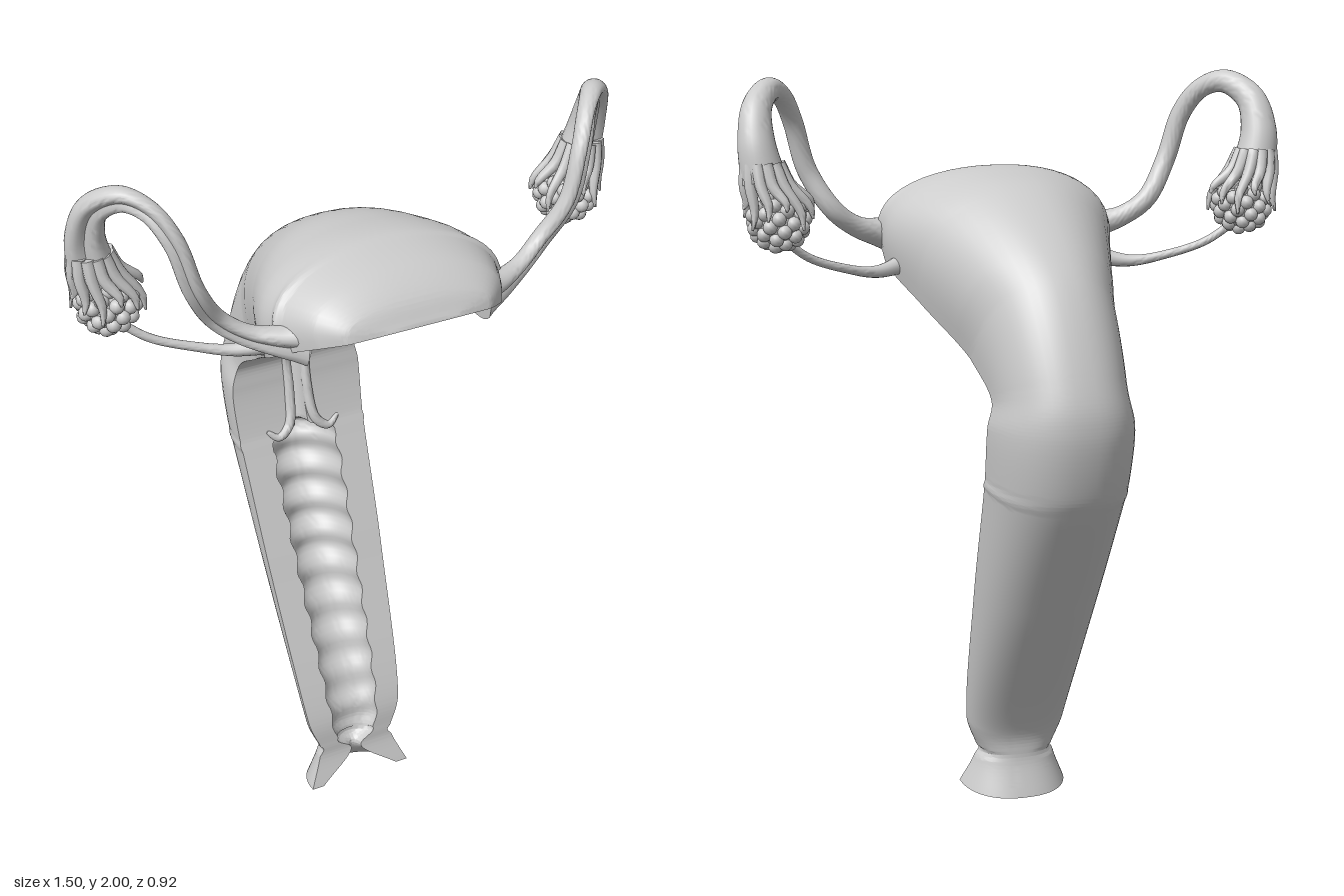
import * as THREE from 'three';
import { toCreasedNormals } from 'three/addons/utils/BufferGeometryUtils.js';

const V = (x, y, z) => new THREE.Vector3(x, y, z);
const material = new THREE.MeshStandardMaterial({ color: 0xcccccc, roughness: 0.7 });

function addMesh(parent, name, geometry) {
  const mesh = new THREE.Mesh(geometry, material);
  mesh.name = name;
  parent.add(mesh);
  return mesh;
}

// Skin a list of equal rings (counter-clockwise about the travel direction) and close both ends
function loft(rings, crease) {
  const n = rings[0].length, last = (rings.length - 1) * n;
  const index = [];
  for (let i = 0; i < rings.length - 1; i++) {
    for (let j = 0; j < n; j++) {
      const a = i * n + j, b = i * n + (j + 1) % n;
      index.push(a, b, a + n, b, b + n, a + n);
    }
  }
  for (let j = 0; j < n / 2 - 1; j++) {
    const a = j, b = j + 1, c = n - 2 - j, d = n - 1 - j;
    index.push(a, d, b, b, d, c);
    index.push(last + a, last + b, last + d, last + b, last + c, last + d);
  }
  const geo = new THREE.BufferGeometry().setFromPoints(rings.flat());
  geo.setIndex(index);
  return toCreasedNormals(geo, crease);
}

// Sweep a round section of varying radius; an optional groove runs along the ref side
function sweep(points, radiusAt, { ref, groove = 0, steps = 40, sides = 12 }) {
  const path = new THREE.CatmullRomCurve3(points);
  const rings = [];
  for (let i = 0; i <= steps; i++) {
    const t = i / steps, p = path.getPoint(t), T = path.getTangent(t);
    const N = ref.clone().addScaledVector(T, -ref.dot(T)).normalize();
    const B = T.clone().cross(N);
    const r = radiusAt(t);
    rings.push(Array.from({ length: sides }, (_, j) => {
      const a = (j / sides) * Math.PI * 2 - Math.PI;
      const rr = r * (1 - groove * Math.exp(-((a / 0.5) ** 2)));
      return p.clone().addScaledVector(N, Math.cos(a) * rr).addScaledVector(B, Math.sin(a) * rr);
    }));
  }
  return loft(rings, 0.9);
}

// Halved body: [front z, front y, back z, back y, half width, cavity half width, cavity depth share]
const stations = [
  [0.46, 1.62, 0.457, 1.63, 0.10, 0, 0],
  [0.447, 1.612, 0.42, 1.68, 0.19, 0, 0],
  [0.40, 1.59, 0.35, 1.725, 0.25, 0, 0],
  [0.315, 1.545, 0.25, 1.75, 0.295, 0, 0],
  [0.285, 1.525, 0.21, 1.755, 0.305, 0.19, 0.18],
  [0.22, 1.485, 0.12, 1.745, 0.305, 0.14, 0.22],
  [0.10, 1.41, -0.03, 1.705, 0.26, 0.075, 0.22],
  [-0.10, 1.28, -0.30, 1.51, 0.185, 0.025, 0.18],
  [-0.22, 1.19, -0.44, 1.24, 0.175, 0.015, 0.18],
  [-0.22, 1.12, -0.457, 1.13, 0.19, 0.015, 0.18],
  [-0.185, 0.985, -0.42, 0.96, 0.187, 0.02, 0.2],
  [-0.17, 0.95, -0.395, 0.91, 0.185, 0.095, 0.55],
  [-0.02, 0.62, -0.19, 0.60, 0.17, 0.088, 0.62],
  [0.155, 0.22, 0.08, 0.18, 0.14, 0.07, 0.55],
  [0.168, 0.14, 0.088, 0.125, 0.11, 0.055, 0.55],
  [0.172, 0.105, 0.085, 0.095, 0.115, 0.015, 0.3],
  [0.20, 0.025, 0.055, 0.003, 0.15, 0.115, 0.8],
];

function bodyGeometry() {
  const curve = (f) => new THREE.CatmullRomCurve3(stations.map(f));
  const front = curve((s) => V(0, s[1], s[0]));
  const back = curve((s) => V(0, s[3], s[2]));
  const size = curve((s) => V(s[4], s[5], s[6]));
  const steps = 480, arc = 28, rings = [];
  for (let i = 0; i <= steps; i++) {
    const t = i / steps, f = front.getPoint(t), s = size.getPoint(t);
    const depth = back.getPoint(t).sub(f);
    // the lower part leans slightly to one side
    f.x = -0.012 * THREE.MathUtils.smoothstep(-f.y, -1.4, -1.1) - 0.013 * Math.max(0, 1.35 - f.y);
    // cross folds along the lower cavity
    const fold = f.y < 0.93 && f.y > 0.15 ? Math.sin(f.y * 2 * Math.PI / 0.085) : 0;
    const cavityW = Math.max(0, s.y) * (1 + 0.06 * fold);
    const cavityD = Math.max(0, s.z) * (1 + 0.08 * fold);
    const bulge = 0.24 * THREE.MathUtils.clamp((f.y - 1.2) / 0.12, 0, 1);
    const outer = [], inner = [];
    for (let j = 0; j <= arc; j++) {
      const a = Math.PI * (1 - j / arc), c = Math.cos(a), d = Math.max(0, Math.sin(a));
      const x = Math.sign(c) * Math.abs(c) ** 0.85 * s.x * (1 + bulge * d * Math.abs(c));
      outer.push(f.clone().addScaledVector(depth, d ** 0.9).add(V(x, 0, 0)));
      inner.unshift(f.clone().addScaledVector(depth, d * cavityD).add(V(c * cavityW, 0, 0)));
    }
    rings.push([...outer, ...inner]);
  }
  return loft(rings, 0.7);
}

// Round cluster of beads on a core
function addOvary(parent, centre) {
  const ovary = new THREE.Group();
  ovary.name = 'ovary';
  ovary.position.copy(centre);
  parent.add(ovary);
  addMesh(ovary, 'ovaryCore', new THREE.SphereGeometry(0.07, 20, 14));
  const count = 54, bead = new THREE.SphereGeometry(0.019, 12, 8);
  for (let i = 0; i < count; i++) {
    const y = 1 - (2 * i + 1) / count, r = Math.sqrt(1 - y * y), a = i * 2.39996;
    addMesh(ovary, 'follicle', bead).position.set(r * Math.cos(a), y, r * Math.sin(a)).multiplyScalar(0.068);
  }
}

// Tube, fringe, ovary and ligament of one side (s = 1 left, -1 right)
function sideParts(s) {
  const group = new THREE.Group();
  group.name = s > 0 ? 'leftAppendage' : 'rightAppendage';
  const P = (x, y, z) => V(x * s, y, z);

  // thick at the body, slender along the arch, flaring at the mouth
  addMesh(group, 'tube', sweep([
    P(0.24, 1.565, 0.31), P(0.31, 1.575, 0.295), P(0.38, 1.595, 0.27), P(0.45, 1.645, 0.25),
    P(0.515, 1.75, 0.27), P(0.555, 1.88, 0.255), P(0.595, 1.95, 0.21), P(0.642, 1.97, 0.155),
    P(0.69, 1.925, 0.09), P(0.70, 1.84, 0.055), P(0.685, 1.745, 0.045),
  ], (t) => 0.027 + 0.038 * Math.max(0, 1 - t / 0.25) ** 2 + 0.033 * Math.max(0, (t - 0.6) / 0.4) ** 1.4,
  { ref: P(0.5, -0.3, 1), groove: 0.5, steps: 80, sides: 28 }));

  const c = V(0.648, 1.645, 0.045);
  addOvary(group, P(c.x, c.y, c.z));

  // fringe fingers draping from the tube mouth over the ovary
  const fingers = 12;
  for (let i = 0; i < fingers; i++) {
    const a = (i / fingers) * Math.PI * 2, x = Math.cos(a), z = Math.sin(a);
    const drop = 0.025 * (i % 3);
    addMesh(group, 'fringeFinger', sweep([
      P(0.687 + 0.043 * x, 1.79, 0.046 + 0.043 * z),
      P(0.675 + 0.06 * x, 1.735, 0.045 + 0.06 * z),
      P(c.x + 0.083 * x, 1.695 - drop * 0.5, c.z + 0.083 * z),
      P(c.x + 0.092 * x, 1.675 - drop, c.z + 0.092 * z),
    ], (t) => 0.017 - 0.014 * t * t, { ref: P(x, 0.3, z), steps: 10, sides: 8 }));
  }

  addMesh(group, 'ligament', sweep([
    P(0.63, 1.59, 0.06), P(0.56, 1.54, 0.085), P(0.46, 1.505, 0.115),
    P(0.36, 1.487, 0.15), P(0.24, 1.51, 0.20),
  ], (t) => 0.011 + 0.024 * t ** 5, { ref: V(0, 1, 0) }));

  // raised lip beside the narrow canal, curling out at its lower end
  const lip = [[0.045, 1.27, -0.12], [0.03, 1.19, -0.218], [0.027, 1.08, -0.21],
    [0.04, 0.99, -0.186], [0.075, 0.962, -0.178], [0.108, 0.985, -0.185]];
  addMesh(group, 'canalLip', sweep(lip.map(([x, y, z]) => V(x * s - 0.014, y, z)),
    (t) => 0.004 + 0.01 * Math.sin(Math.PI * t) ** 0.6, { ref: V(0, 0.2, 1) }));
  return group;
}

export function createModel() {
  const model = new THREE.Group();
  model.name = 'anatomyModel';
  addMesh(model, 'halvedBody', bodyGeometry());
  model.add(sideParts(1), sideParts(-1));
  return model;
}
